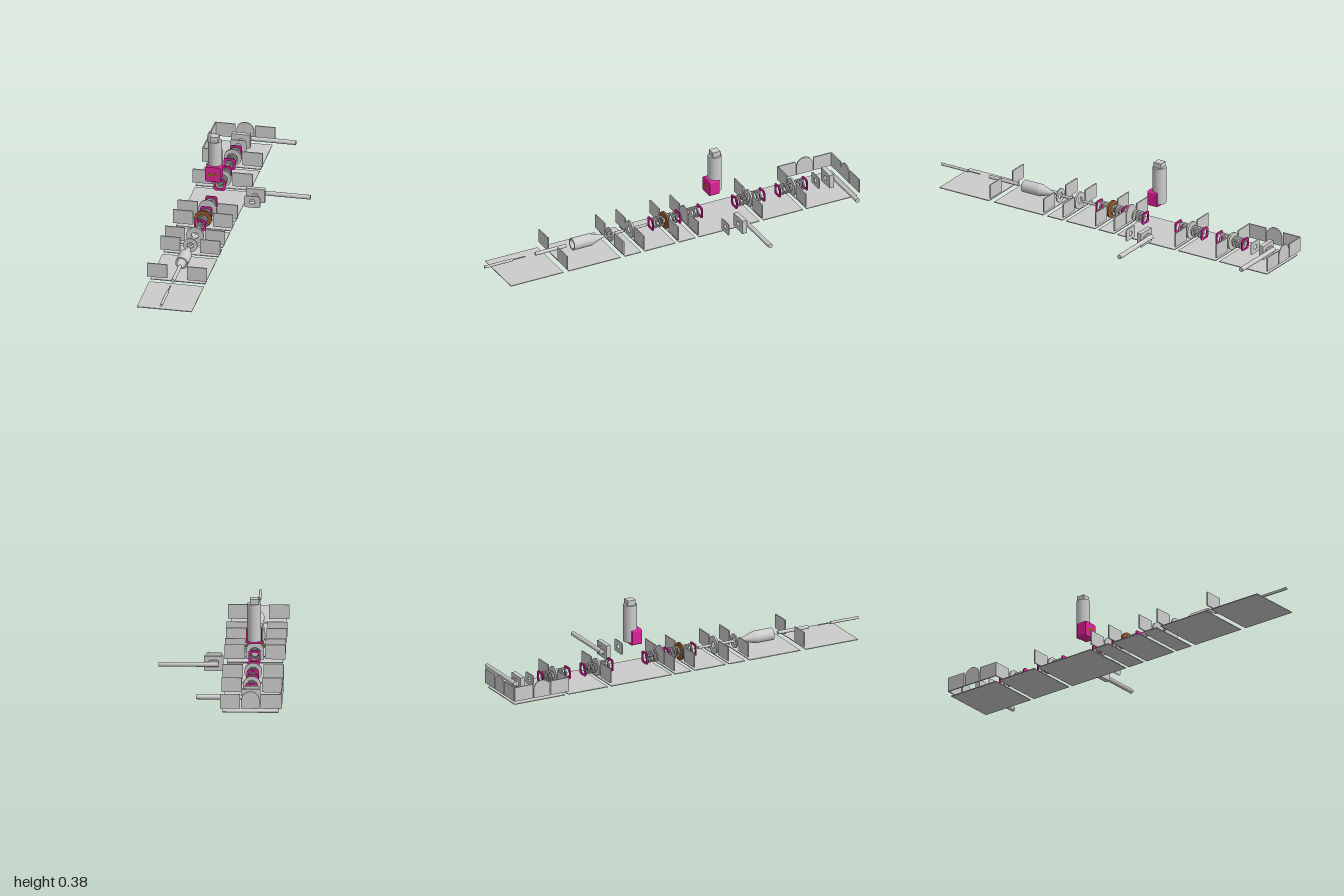
import * as THREE from 'three';

const AX = -0.157, AY = 0.06; // shared axis of the exploded parts
const mat = (c) => new THREE.MeshStandardMaterial({ color: c, side: THREE.DoubleSide });
const grey = mat(0xcccccc), pink = mat(0xe0229a), brown = mat(0x9a5a2c);

export function createModel() {
  const root = new THREE.Group();

  const add = (name, geo, x, y, z, m = grey, parent = root) => {
    const mesh = new THREE.Mesh(geo, m);
    mesh.name = name;
    mesh.position.set(x, y, z);
    parent.add(mesh);
    return mesh;
  };
  const box = (w, h, d) => new THREE.BoxGeometry(w, h, d);
  // extrusion along z, centred on its thickness
  const slab = (shape, depth) => new THREE.ExtrudeGeometry(shape, { depth, bevelEnabled: false, curveSegments: 24 })
    .translate(0, 0, -depth / 2);
  const outline = (target, w, h, r) => {
    const a = w / 2, b = h / 2;
    target.moveTo(-a + r, -b);
    target.lineTo(a - r, -b); target.absarc(a - r, -b + r, r, -Math.PI / 2, 0, false);
    target.lineTo(a, b - r); target.absarc(a - r, b - r, r, 0, Math.PI / 2, false);
    target.lineTo(-a + r, b); target.absarc(-a + r, b - r, r, Math.PI / 2, Math.PI, false);
    target.lineTo(-a, -b + r); target.absarc(-a + r, -b + r, r, Math.PI, Math.PI * 1.5, false);
    return target;
  };
  const roundRect = (w, h, r) => outline(new THREE.Shape(), w, h, r);
  const ring = (ro, ri, depth) => {
    const s = new THREE.Shape().absarc(0, 0, ro, 0, Math.PI * 2, false);
    s.holes.push(new THREE.Path().absarc(0, 0, ri, 0, Math.PI * 2, true));
    return slab(s, depth);
  };
  const rod = (r, z0, z1, r2 = r) => new THREE.CylinderGeometry(r, r2, z1 - z0, 24)
    .rotateX(Math.PI / 2).translate(0, 0, (z0 + z1) / 2);
  const archPlate = () => {
    const s = new THREE.Shape();
    s.moveTo(-0.045, -0.037);
    s.lineTo(0.045, -0.037);
    s.lineTo(0.045, 0.005);
    s.absarc(0, 0.005, 0.045, 0, Math.PI, false);
    s.closePath();
    return slab(s, 0.006);
  };

  // floor panels, one per compartment
  const panels = [[-0.99, -0.71], [-0.69, -0.47], [-0.45, -0.115], [-0.095, -0.005],
    [0.015, 0.185], [0.205, 0.295], [0.32, 0.605], [0.635, 0.925]];
  for (const [a, b] of panels) add('floorPanel', box(0.275, 0.004, b - a), AX, 0.002, (a + b) / 2);

  // pairs of upright plates between the panels
  for (const z of [-0.997, -0.70, -0.46, -0.105, 0.005, 0.195, 0.308, 0.62])
    for (const s of [-1, 1]) add('dividerPlate', box(0.1, 0.073, 0.006), AX + s * 0.1, AY, z);

  // closed back end and right side wall with arched middles
  add('backArch', archPlate(), AX, AY, -0.997);
  add('middleArch', archPlate(), AX, AY, -0.105);
  add('sideArch', archPlate(), -0.308, AY, -0.847).rotation.y = Math.PI / 2;
  for (const s of [-1, 1]) add('sidePlate', box(0.006, 0.073, 0.1), -0.308, AY, -0.847 + s * 0.1);

  // round flanges in the divider openings
  for (const z of [-0.70, -0.46, 0.195]) add('flange', ring(0.044, 0.017, 0.01), AX, AY, z);
  add('frontFlange', ring(0.036, 0.016, 0.006), AX, AY, 0.308);
  add('copperFlange', ring(0.044, 0.017, 0.01), AX, AY, 0.005, brown);

  // ring stacks, each ending in a coloured square collar
  const collar = roundRect(0.06, 0.06, 0.012);
  collar.holes.push(new THREE.Path().absarc(0, 0, 0.021, 0, Math.PI * 2, true));
  const stacks = [[0.08, 0.022], [-0.07, -0.012], [-0.19, -0.13], [-0.383, -0.442],
    [-0.535, -0.478], [-0.622, -0.68], [-0.772, -0.718]];
  for (const [end, inner] of stacks) {
    add('collar', slab(collar, 0.006), AX, AY, end, pink);
    for (let i = 1; i <= 3; i++)
      add('stackRing', ring(0.028, 0.017, 0.006), AX, AY, end + (inner - end) * i / 3);
  }

  // needle, rod and stems on the axis
  add('needleBody', rod(0.007, 0.845, 1), AX, AY, 0);
  add('needleTip', rod(0.003, 0.775, 0.845), AX, AY, 0);
  add('rod', rod(0.009, 0.55, 0.72), AX, AY, 0);
  add('stem', rod(0.007, 0.232, 0.305), AX, AY, 0);
  add('stem', rod(0.007, 0.105, 0.175), AX, AY, 0);

  // hollow nozzle, open at the front
  const profile = [[0.004, 0.335], [0.031, 0.42], [0.031, 0.517], [0.023, 0.517], [0.023, 0.43], [0.004, 0.355]]
    .map(([r, z]) => new THREE.Vector2(r, z));
  const nozzleGeo = new THREE.LatheGeometry(profile, 32).toNonIndexed().rotateX(Math.PI / 2);
  nozzleGeo.computeVertexNormals();
  add('nozzle', nozzleGeo, AX, AY, 0);

  // two latch assemblies: cover with slot, block, boss and long side bar
  const cover = roundRect(0.08, 0.062, 0.01);
  cover.holes.push(outline(new THREE.Path(), 0.027, 0.022, 0.009));
  for (const [x, z] of [[0.04, -0.315], [AX, -0.9]]) {
    const latch = new THREE.Group();
    latch.name = 'latch';
    latch.position.set(x, AY, z);
    root.add(latch);
    add('latchCover', slab(cover, 0.004), 0, 0, z < -0.5 ? 0.068 : 0.085, grey, latch);
    const block = roundRect(0.095, 0.073, 0.003);
    block.holes.push(outline(new THREE.Path(), 0.027, 0.022, 0.009));
    add('latchBlock', slab(block, 0.024), 0, 0, 0.003, grey, latch);
    add('latchBoss', slab(roundRect(0.05, 0.036, 0.008), 0.008), 0, 0, -0.012, grey, latch);
    const bar = new THREE.CylinderGeometry(0.0115, 0.0115, 0.293, 24).rotateZ(Math.PI / 2);
    add('latchBar', bar, 0.123, 0, -0.024, grey, latch);
  }

  // upright motor with slotted coloured housing
  const motor = new THREE.Group();
  motor.name = 'motor';
  motor.position.set(AX, 0, -0.273);
  root.add(motor);
  add('motorHousing', slab(roundRect(0.078, 0.078, 0.01), 0.054), 0, 0.189, 0.019, pink, motor);
  add('housingSlot', box(0.047, 0.014, 0.002), 0, 0.189, 0.046, brown, motor);
  add('motorBody', new THREE.CylinderGeometry(0.034, 0.034, 0.19, 32), 0, 0.26, 0, grey, motor);
  add('motorCap', box(0.042, 0.026, 0.042), 0, 0.368, 0, grey, motor);

  return root;
}
